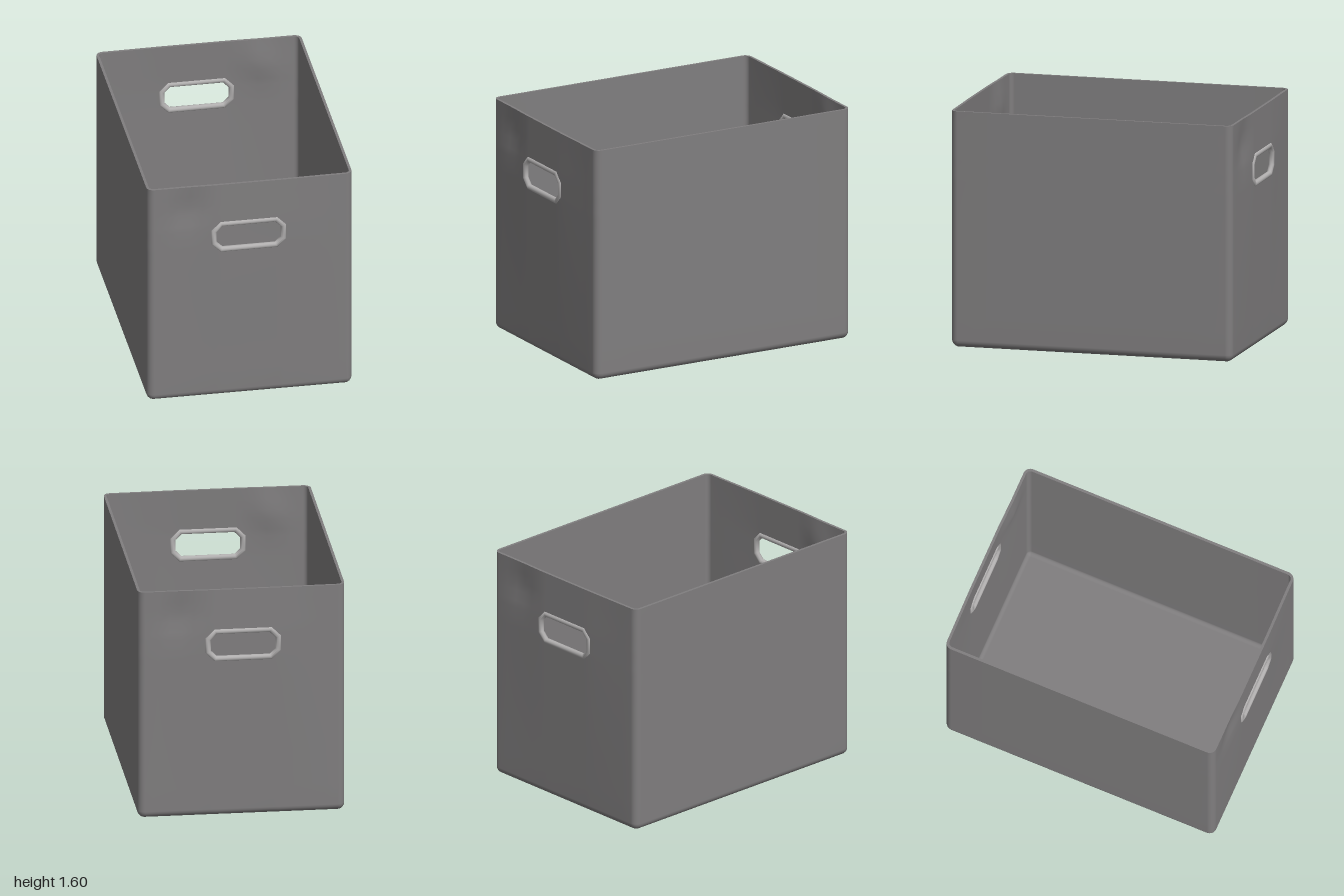
import * as THREE from 'three';

// handle opening: column and row limits with chamfered corners
const HX = [-0.245, -0.195, 0.175, 0.225];
const HY = [1.115, 1.165, 1.257, 1.307];
const CORE_X = 0.645, CORE_Z = 0.925, R = 0.048, T = 0.018;
const COLS = [-CORE_X, -0.56, -0.48, -0.4, -0.32, ...HX.slice(0, 2), -0.01, ...HX.slice(2), 0.32, 0.4, 0.48, 0.56, CORE_X];
const CORNER = 5, SIDE = 8;

const ramp = (v, a, b) => THREE.MathUtils.clamp((v - a) / (b - a), 0, 1);
const blob = (x, y, cx, cy, w, h) => Math.exp(-(((x - cx) / w) ** 2) - ((y - cy) / h) ** 2);

// outward swell of the fabric around each handle, with a soft dent beside it
function swell(x, y, end) {
  const fx = ramp(Math.abs(x + 0.01), 0.62, 0.24);
  const fy = y < 1.2 ? ramp(y, 0.1, 1.1) : 1 - 0.6 * ramp(y, 1.31, 1.6);
  const dent = blob(x, y, -0.42 * end, 1.42, 0.1, 0.12);
  return 0.013 * fx * fy - 0.022 * dent;
}

// one closed horizontal section: front, corner, side, back, corner, side
function ring(r, y) {
  const pts = [];
  const corner = (sx, sz, from) => {
    for (let i = 1; i < CORNER; i++) {
      const a = from - (i / CORNER) * Math.PI / 2;
      pts.push([sx * CORE_X + r * Math.cos(a), y, sz * CORE_Z + r * Math.sin(a)]);
    }
  };
  const side = s => {
    for (let i = 0; i <= SIDE; i++) pts.push([s * (CORE_X + r), y, s * CORE_Z * (1 - 2 * i / SIDE)]);
  };
  for (const x of COLS) pts.push([x, y, CORE_Z + r + swell(x, y, 1)]);
  corner(1, 1, Math.PI / 2);
  side(1);
  corner(1, -1, 0);
  for (const x of [...COLS].reverse()) pts.push([x, y, -CORE_Z - r - swell(x, y, -1)]);
  corner(-1, -1, -Math.PI / 2);
  side(-1);
  corner(-1, 1, -Math.PI);
  return pts;
}

function toGeometry(points, index) {
  const g = new THREE.BufferGeometry();
  g.setAttribute('position', new THREE.Float32BufferAttribute(points.flat(), 3));
  g.setIndex(index);
  g.computeVertexNormals();
  return g;
}

// joins equal rings; cell(i, j) may return which corners a..d to keep
function loft(rings, flip, cell = () => 'abcd') {
  const n = rings[0].length, index = [];
  for (let j = 0; j < rings.length - 1; j++) for (let i = 0; i < n; i++) {
    const k = (i + 1) % n;
    const id = { a: j * n + i, b: j * n + k, c: (j + 1) * n + k, d: (j + 1) * n + i };
    const q = [...cell(i, j)].map(s => id[s]);
    for (let t = 1; t < q.length - 1; t++) {
      index.push(...(flip ? [q[0], q[t + 1], q[t]] : [q[0], q[t], q[t + 1]]));
    }
  }
  return toGeometry(rings.flat(), index);
}

// bag skin from floor centre to top edge, with an octagonal hole at both ends
function skin(r, floorY, flip) {
  const rings = [];
  for (const s of [0, 0.5, 0.9]) rings.push(ring(0, floorY).map(p => [p[0] * s, floorY, p[2] * s]));
  for (let i = 0; i <= 5; i++) {
    const a = i / 5 * Math.PI / 2;
    rings.push(ring(r * Math.sin(a), floorY + r * (1 - Math.cos(a))));
  }
  const ys = [0.2, 0.45, 0.7, 0.95, ...HY, 1.38, 1.45, 1.52, 1.6];
  const row0 = rings.length + 4;
  for (const y of ys) rings.push(ring(r, y));

  const n = COLS.length, first = COLS.indexOf(HX[0]);
  const backStart = n + 2 * (CORNER - 1) + SIDE + 1;
  const backFirst = backStart + (n - 1 - COLS.indexOf(HX[3]));
  const shape = [['abd', '', '', 'abc'], ['', '', '', ''], ['acd', '', '', 'bcd']];
  return loft(rings, flip, (i, j) => {
    const c = i >= backStart ? i - backFirst : i - first;
    const row = j - row0;
    return c >= 0 && c < 4 && row >= 0 && row < 3 ? shape[row][c] : 'abcd';
  });
}

// octagonal ring of round section, mitred at its corners
function gripGeometry(radius) {
  const [x0, x1, x2, x3] = HX, [y0, y1, y2, y3] = HY;
  const path = [[x3, y2], [x2, y3], [x1, y3], [x0, y2], [x0, y1], [x1, y0], [x2, y0], [x3, y1]];
  const sides = 10, sections = [];
  path.forEach(([x, y], k) => {
    const a = (k + 0.5) * Math.PI / 4, m = radius / Math.cos(Math.PI / 8), s = [];
    for (let i = 0; i < sides; i++) {
      const t = i / sides * Math.PI * 2;
      s.push([x + Math.cos(a) * m * Math.cos(t), y + Math.sin(a) * m * Math.cos(t), radius * Math.sin(t)]);
    }
    sections.push(s);
  });
  const index = [];
  for (let j = 0; j < 8; j++) for (let i = 0; i < sides; i++) {
    const a = j * sides + i, b = j * sides + (i + 1) % sides;
    const j2 = ((j + 1) % 8) * sides, d = j2 + i, c = j2 + (i + 1) % sides;
    index.push(a, c, b, a, d, c);
  }
  return toGeometry(sections.flat(), index);
}

export function createModel() {
  const group = new THREE.Group();
  const fabric = new THREE.MeshStandardMaterial({ color: 0x807e7f });
  fabric.name = 'grey fabric';
  const plastic = new THREE.MeshStandardMaterial({ color: 0xb2b0b0 });
  plastic.name = 'light grey plastic';
  fabric.side = THREE.DoubleSide;
  const add = (name, geometry, material) => {
    const mesh = new THREE.Mesh(geometry, material);
    mesh.name = name;
    group.add(mesh);
    return mesh;
  };

  // fabric skins and the hem joining them
  add('outerSkin', skin(R, 0, false), fabric);
  add('innerLining', skin(R - T, T, true), fabric);
  add('topHem', loft([ring(R, 1.6), ring(R - T, 1.6)], false), fabric);

  // handle grommets at both ends
  const grip = gripGeometry(0.019);
  for (const [name, s] of [['frontHandle', 1], ['backHandle', -1]]) {
    add(name, grip, plastic).position.z = s * (CORE_Z + R + 0.004);
  }
  return group;
}
